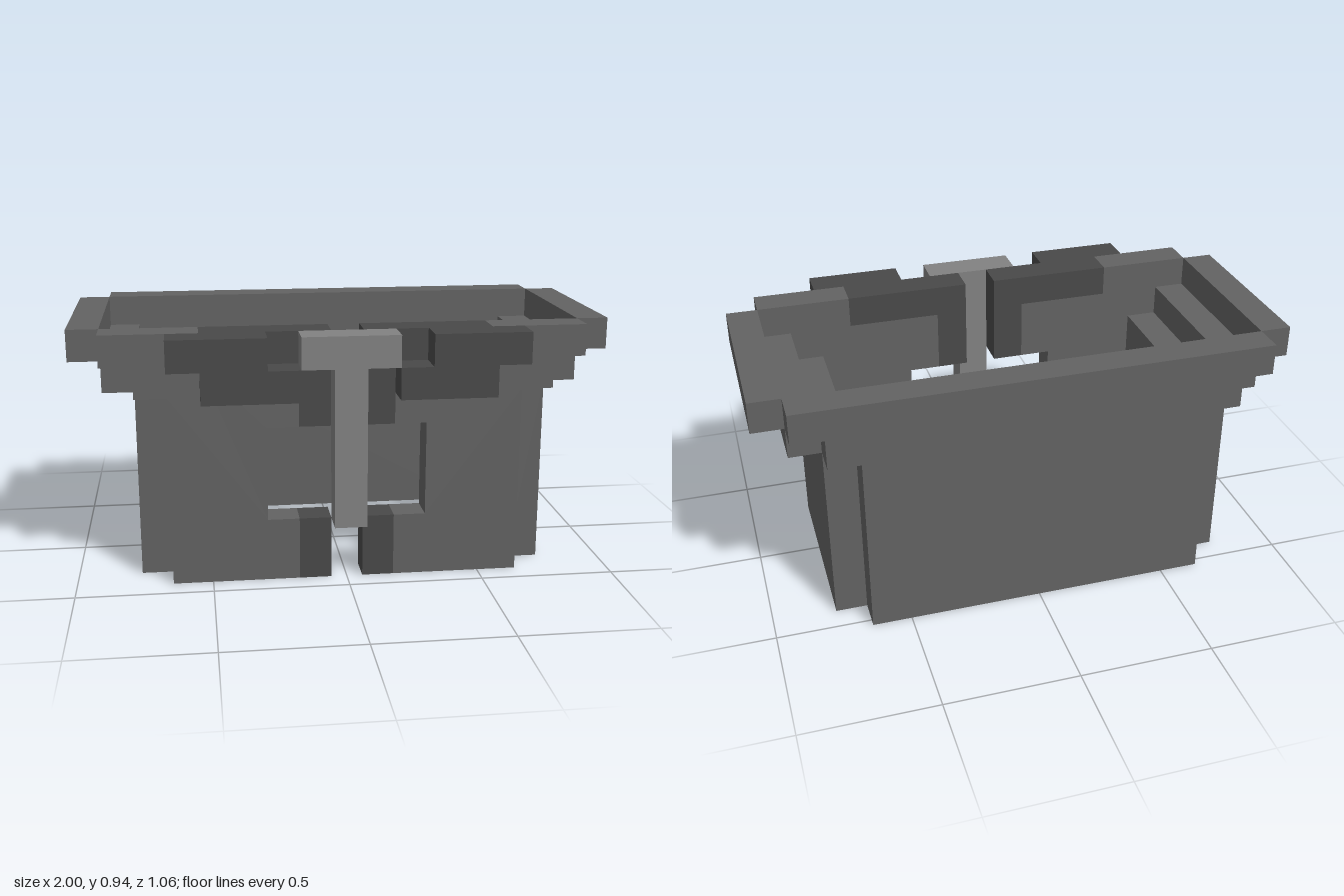
import * as THREE from 'three';

const U = 2 / 17; // edge of one block

export function createModel() {
  const group = new THREE.Group();
  const mat = (color) => new THREE.MeshStandardMaterial({ color, flatShading: true });
  const wall = mat(0x636363), dark = mat(0x494949), light = mat(0x828282);

  // Flat outline in block units, one block thick unless told otherwise, from z0 forward
  function slab(name, points, z0, material, depth = 1) {
    const shape = new THREE.Shape(points.map(([x, y]) => new THREE.Vector2(x * U, y * U)));
    const geo = new THREE.ExtrudeGeometry(shape, { depth: depth * U, bevelEnabled: false });
    geo.translate(0, 0, z0 * U);
    const mesh = new THREE.Mesh(geo, material);
    mesh.name = name;
    group.add(mesh);
  }
  const rect = (x0, y0, x1, y1) => [[x0, y0], [x1, y0], [x1, y1], [x0, y1]];

  // Back wall, widening in steps towards the top
  slab('backWall', [
    [-5.5, 0], [5.5, 0], [5.5, 6], [6.5, 6], [6.5, 7], [7.5, 7],
    [7.5, 8], [-7.5, 8], [-7.5, 7], [-6.5, 7], [-6.5, 6], [-5.5, 6],
  ], -4.5, wall);

  for (const [side, s] of [['left', 1], ['right', -1]]) {
    const flip = (points) => points.map(([x, y]) => [s * x, y]);

    // Side wall with two outward steps
    slab(side + 'SideWall', flip(rect(5.5, 0, 6.5, 6)), -3.5, wall, 6);
    slab(side + 'SideStep', flip(rect(6.5, 6, 7.5, 7)), -3.5, wall, 6);
    slab(side + 'SideRim', flip(rect(7.5, 7, 8.5, 8)), -3.5, wall, 6);

    // Half of the front wall, notched for the window
    slab(side + 'FrontWall', flip([
      [1.5, 0], [5.5, 0], [5.5, 6], [6.5, 6], [6.5, 7], [7.5, 7], [7.5, 8],
      [4.5, 8], [4.5, 7], [1.5, 7], [1.5, 5], [2.5, 5], [2.5, 2], [1.5, 2],
    ]), 2.5, wall);

    // Dark edging beside the slot
    slab(side + 'UpperTrim', flip([
      [0.5, 5], [1.5, 5], [1.5, 7], [4.5, 7], [4.5, 8], [0.5, 8],
    ]), 2.5, dark);
    slab(side + 'LowerTrim', flip(rect(0.5, 0, 1.5, 2)), 2.5, dark);

    // Stepped bracket standing proud of the front
    slab(side + 'Bracket', flip([
      [1.5, 6], [4.5, 6], [4.5, 7], [5.5, 7], [5.5, 8], [2.5, 8], [2.5, 7], [1.5, 7],
    ]), 3.5, dark);
  }

  // T-shaped centre post
  slab('centrePost', [
    [-0.5, 2], [0.5, 2], [0.5, 7], [1.5, 7], [1.5, 8], [-1.5, 8], [-1.5, 7], [-0.5, 7],
  ], 3.5, light);

  return group;
}
